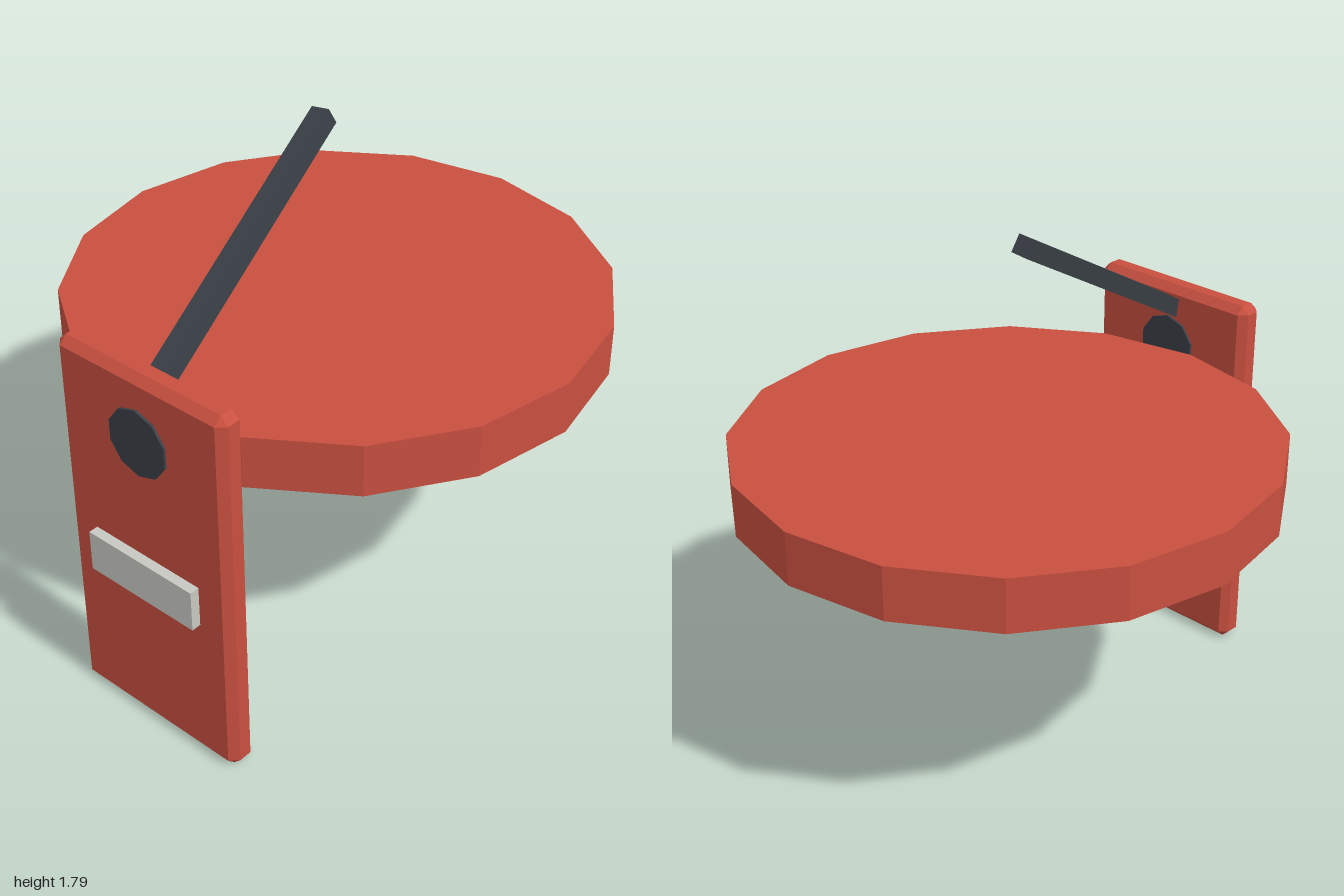
import * as THREE from 'three';
import { ConvexGeometry } from 'three/addons/geometries/ConvexGeometry.js';

// Box with every edge cut by a flat chamfer c
function chamferedBox(w, h, d, c) {
  const points = [];
  for (const x of [-w / 2, w / 2])
    for (const y of [-h / 2, h / 2])
      for (const z of [-d / 2, d / 2]) {
        const ix = x - Math.sign(x) * c, iy = y - Math.sign(y) * c, iz = z - Math.sign(z) * c;
        points.push(
          new THREE.Vector3(x, iy, iz),
          new THREE.Vector3(ix, y, iz),
          new THREE.Vector3(ix, iy, z)
        );
      }
  return new ConvexGeometry(points);
}

export function createModel() {
  const group = new THREE.Group();
  const material = (name, color) => {
    const m = new THREE.MeshStandardMaterial({ color, flatShading: true });
    m.name = name;
    return m;
  };
  const red = material('red', 0xc85040);
  const charcoal = material('charcoal', 0x3a4047);
  const paleGrey = material('paleGrey', 0xc8c8c2);

  const add = (name, geometry, mat, x, y, z) => {
    const mesh = new THREE.Mesh(geometry, mat);
    mesh.name = name;
    mesh.position.set(x, y, z);
    group.add(mesh);
    return mesh;
  };

  const plateX = -0.915, plateZ = 0.135;

  // Sixteen-sided disc
  add('disc', new THREE.CylinderGeometry(0.917, 0.917, 0.183, 16), red, 0.083, 1.04, 0);

  // Upright side plate
  add('sidePlate', chamferedBox(0.1, 1.35, 0.675, 0.027), red, plateX, 0.675, plateZ);

  // Pivot hub through the plate, with a flat facet on top
  const hub = new THREE.CylinderGeometry(0.117, 0.117, 0.117, 10);
  hub.rotateZ(Math.PI / 2);
  hub.rotateX(Math.PI / 10);
  add('pivotHub', hub, charcoal, plateX, 1.12, plateZ);

  // Pale bar through the plate
  add('labelBar', new THREE.BoxGeometry(0.167, 0.146, 0.433), paleGrey, plateX, 0.618, plateZ);

  // Slanted lever arm
  const start = new THREE.Vector3(plateX, 1.25, plateZ);
  const end = new THREE.Vector3(0.013, 1.757, 0);
  const mid = start.clone().add(end).multiplyScalar(0.5);
  const direction = end.clone().sub(start);
  const length = direction.length();
  const arm = add('leverArm', new THREE.BoxGeometry(0.063, length, 0.065), charcoal, mid.x, mid.y, mid.z);
  arm.quaternion.setFromUnitVectors(new THREE.Vector3(0, 1, 0), direction.normalize());

  return group;
}
